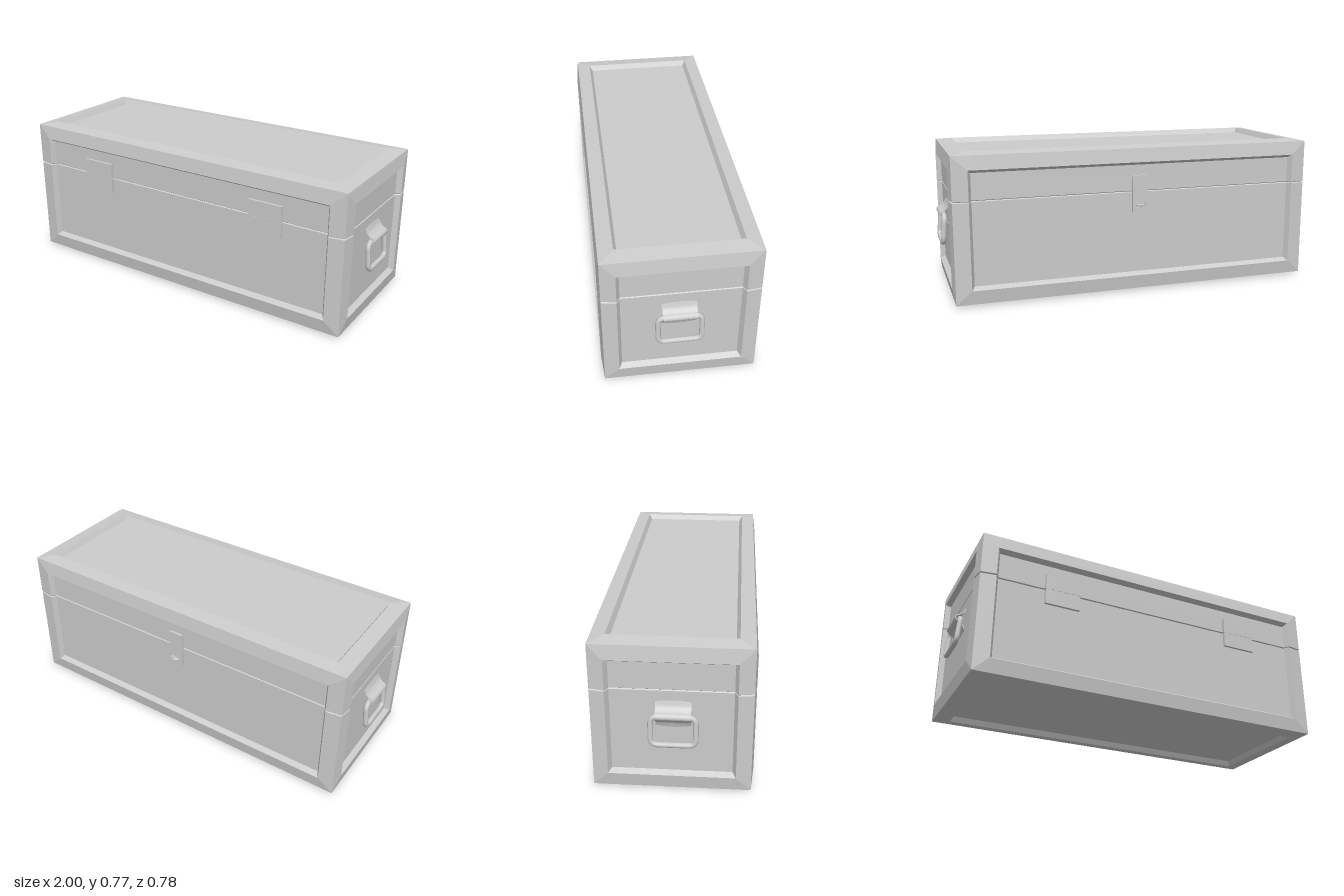
import * as THREE from 'three';

const material = new THREE.MeshStandardMaterial({ color: 0xcccccc, side: THREE.DoubleSide });
const flat = new THREE.MeshStandardMaterial({ color: 0xcccccc, flatShading: true });

// Body dimensions per axis (x, y, z)
const CENTER = new THREE.Vector3(0, 0.384, 0.0075);
const HALF = [0.972, 0.384, 0.3825];
const RIM = [0.882, 0.301, 0.3];
const BEVEL = 0.016, RECESS = 0.027, CORNER_DROP = 0.011;
const SEAM_Y = 0.53, SEAM_DEPTH = 0.006;
const FLOOR_Z = 0.3825 - RECESS;

function add(parent, name, geometry, mat = material) {
  const mesh = new THREE.Mesh(geometry, mat);
  mesh.name = name;
  parent.add(mesh);
  return mesh;
}

// Grid lines across one axis: corner, raised rim, panel floor, and mirrored
function gridLines(axis) {
  const steps = [HALF[axis] - CORNER_DROP, RIM[axis], RIM[axis] - BEVEL];
  const lower = steps.map((p, ring) => ({ p: -p, ring, inset: 0 }));
  const upper = steps.map((p, ring) => ({ p, ring, inset: 0 })).reverse();
  return [lower, upper];
}

// One framed face with mitred recess; the lid seam is a V groove across the rows
function framedFace(u, v, w, sign, withSeam) {
  const cols = gridLines(u).flat();
  const [low, high] = gridLines(v);
  const seam = withSeam ? [-0.004, 0, 0.004].map((d, k) => ({
    p: SEAM_Y - CENTER.y + d, ring: 2, inset: k === 1 ? SEAM_DEPTH : 0 })) : [];
  const rows = [...low, ...seam, ...high];
  const drop = [CORNER_DROP, 0, RECESS];
  const positions = [], index = [];
  rows.forEach((row) => cols.forEach((col) => {
    const ring = Math.min(row.ring, col.ring);
    const p = [0, 0, 0];
    p[u] = col.p - (col.ring === 0 ? Math.sign(col.p) * row.inset : 0);
    p[v] = row.p;
    p[w] = sign * (HALF[w] - drop[ring] - row.inset);
    positions.push(...p);
  }));
  // u x v must point outward, otherwise the winding is reversed
  const outward = ((u + 1) % 3 === v ? 1 : -1) * sign > 0;
  const n = cols.length;
  for (let j = 0; j < rows.length - 1; j++) {
    for (let i = 0; i < n - 1; i++) {
      const a = j * n + i, b = a + 1, c = b + n, d = a + n;
      const rising = (i < n / 2 - 1) === (j < rows.length / 2 - 1);
      const tris = rising ? [[a, b, c], [a, c, d]] : [[a, b, d], [b, c, d]];
      tris.forEach(([q, r, s]) => index.push(...(outward ? [q, r, s] : [q, s, r])));
    }
  }
  const geometry = new THREE.BufferGeometry();
  geometry.setAttribute('position', new THREE.Float32BufferAttribute(positions, 3));
  geometry.setIndex(index);
  const faceted = geometry.toNonIndexed();
  faceted.computeVertexNormals();
  return faceted;
}

function makeBody() {
  const body = new THREE.Group();
  body.name = 'chestBody';
  body.position.copy(CENTER);
  const faces = [
    ['frontFace', 0, 1, 2, 1, true], ['backFace', 0, 1, 2, -1, true],
    ['leftFace', 2, 1, 0, 1, true], ['rightFace', 2, 1, 0, -1, true],
    ['topFace', 0, 2, 1, 1, false], ['bottomFace', 0, 2, 1, -1, false],
  ];
  faces.forEach(([name, ...args]) => add(body, name, framedFace(...args), flat));
  return body;
}

// Rounded rectangular pull ring, leaning outward at its lower end
function ringGeometry() {
  const w = 0.104, top = 0.407, bottom = 0.265, r = 0.035;
  const at = (z, y) => new THREE.Vector3(0.973 + (0.012 * (top - y)) / (top - bottom), y, z);
  const corners = [[-w, bottom], [w, bottom], [w, top], [-w, top]];
  const toward = (a, b) => {
    const len = Math.hypot(b[0] - a[0], b[1] - a[1]);
    return at(a[0] + ((b[0] - a[0]) * r) / len, a[1] + ((b[1] - a[1]) * r) / len);
  };
  const path = new THREE.CurvePath();
  corners.forEach((c, i) => {
    const prev = corners[(i + 3) % 4], next = corners[(i + 1) % 4];
    path.add(new THREE.QuadraticBezierCurve3(toward(c, prev), at(...c), toward(c, next)));
    path.add(new THREE.LineCurve3(toward(c, next), toward(next, c)));
  });
  return new THREE.TubeGeometry(path, 120, 0.013, 12, true);
}

// Bent strap that wraps the ring's top bar, with bowed ends
function strapGeometry() {
  const width = 0.164, t = 0.005;
  const curve = new THREE.SplineCurve([
    [0.948, 0.48], [0.958, 0.452], [0.975, 0.434], [0.99, 0.427], [0.998, 0.413],
    [0.992, 0.399], [0.976, 0.389], [0.958, 0.368], [0.948, 0.34],
  ].map((p) => new THREE.Vector2(...p)));
  const outer = curve.getPoints(32);
  const inner = outer.map((p, i) => {
    const tan = curve.getTangent(i / 32);
    return new THREE.Vector2(p.x + tan.y * t, p.y - tan.x * t);
  }).reverse();
  const geometry = new THREE.ExtrudeGeometry(new THREE.Shape([...outer, ...inner]),
    { depth: width, steps: 10, bevelEnabled: false });
  geometry.translate(0, 0, -width / 2);
  const pos = geometry.attributes.position;
  for (let i = 0; i < pos.count; i++) {
    const offset = (pos.getY(i) - 0.41) / 0.07;
    const bow = (pos.getZ(i) / (width / 2)) ** 2;
    pos.setY(i, pos.getY(i) - 0.009 * bow * offset ** 3);
  }
  geometry.computeVertexNormals();
  return geometry;
}

function makeHandle(name, turn) {
  const handle = new THREE.Group();
  handle.name = name;
  handle.position.z = 0.0165;
  handle.rotation.y = turn;
  add(handle, 'pullRing', ringGeometry());
  add(handle, 'strap', strapGeometry());
  return handle;
}

// Two leaves meeting at the seam, joined by small knuckles
function makeHinge(name, x) {
  const hinge = new THREE.Group();
  hinge.name = name;
  hinge.position.set(x, SEAM_Y, CENTER.z + FLOOR_Z);
  const upper = add(hinge, 'upperLeaf', new THREE.BoxGeometry(0.188, 0.081, 0.028));
  upper.position.y = 0.0425;
  const lower = add(hinge, 'lowerLeaf', new THREE.BoxGeometry(0.188, 0.081, 0.028));
  lower.position.y = -0.0425;
  for (let i = 0; i < 5; i++) {
    const knuckle = add(hinge, 'knuckle', new THREE.CylinderGeometry(0.006, 0.006, 0.03, 10));
    knuckle.rotation.z = Math.PI / 2;
    knuckle.position.set((i - 2) * 0.037, 0, 0.008);
  }
  return hinge;
}

// Slotted hasp plate with a half-round staple through it
function makeLatch() {
  const latch = new THREE.Group();
  latch.name = 'latch';
  latch.position.set(0, 0, CENTER.z - FLOOR_Z);
  const plate = new THREE.Shape([[-0.04, 0.42], [0.04, 0.42], [0.04, 0.615], [-0.04, 0.615]]
    .map((p) => new THREE.Vector2(...p)));
  const slot = new THREE.Path();
  slot.absellipse(0, 0.461, 0.031, 0.014, 0, Math.PI * 2, true);
  plate.holes.push(slot);
  const hasp = add(latch, 'haspPlate',
    new THREE.ExtrudeGeometry(plate, { depth: 0.013, bevelEnabled: false, curveSegments: 16 }));
  hasp.position.z = -0.013;
  const staple = add(latch, 'staple', new THREE.TorusGeometry(0.021, 0.005, 8, 20, Math.PI));
  staple.rotation.x = -Math.PI / 2;
  staple.scale.y = 1.0;
  staple.position.set(0, 0.461, -0.016);
  return latch;
}

export function createModel() {
  const chest = new THREE.Group();
  chest.name = 'storageChest';
  chest.add(
    makeBody(),
    makeHandle('leftHandle', 0),
    makeHandle('rightHandle', Math.PI),
    makeHinge('leftHinge', 0.534),
    makeHinge('rightHinge', -0.528),
    makeLatch(),
  );
  return chest;
}
